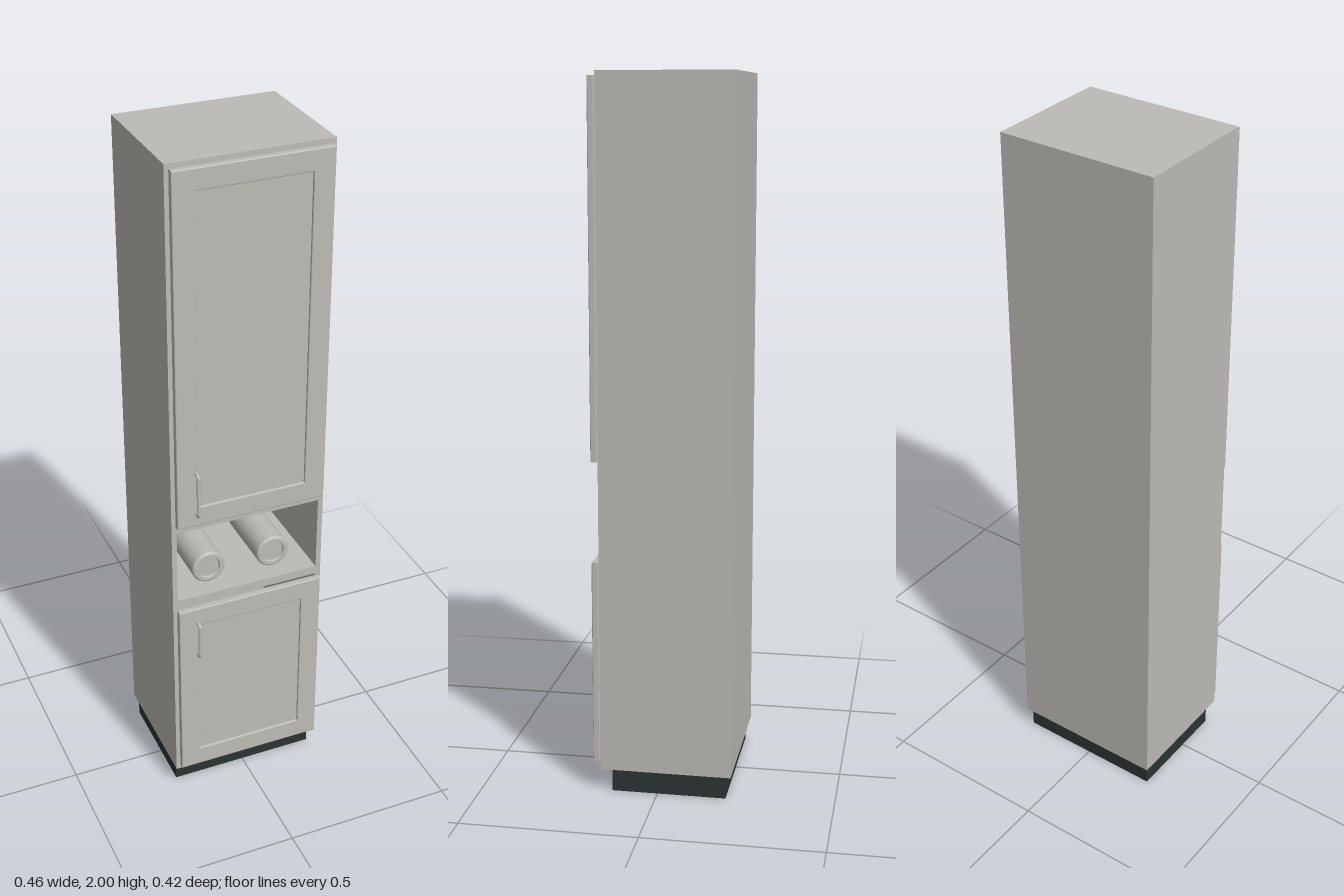
import * as THREE from 'three';

const cabinetGrey = new THREE.MeshStandardMaterial({ color: 0xbdbbb6 });
cabinetGrey.name = 'cabinetGrey';
const plinthDark = new THREE.MeshStandardMaterial({ color: 0x2b3433 });
plinthDark.name = 'plinthDark';

function add(parent, name, geometry, material = cabinetGrey) {
  const mesh = new THREE.Mesh(geometry, material);
  mesh.name = name;
  parent.add(mesh);
  return mesh;
}

// Box given by its extents on each axis
function box(parent, name, [x0, x1], [y0, y1], [z0, z1], material) {
  const mesh = add(parent, name, new THREE.BoxGeometry(x1 - x0, y1 - y0, z1 - z0), material);
  mesh.position.set((x0 + x1) / 2, (y0 + y1) / 2, (z0 + z1) / 2);
  return mesh;
}

function rectangle(path, x0, y0, x1, y1) {
  path.moveTo(x0, y0);
  path.lineTo(x1, y0);
  path.lineTo(x1, y1);
  path.lineTo(x0, y1);
  path.closePath();
  return path;
}

// Framed door with a recessed panel and a bow handle
function makeDoor(name, y0, y1, handleY0, handleY1) {
  const door = new THREE.Group();
  door.name = name;
  const bevel = 0.003, rail = 0.06;
  const shape = rectangle(new THREE.Shape(), -0.22 + bevel, y0 + bevel, 0.22 - bevel, y1 - bevel);
  shape.holes.push(rectangle(new THREE.Path(), -0.16 - bevel, y0 + rail - bevel, 0.16 + bevel, y1 - rail + bevel));
  const frame = add(door, 'doorFrame', new THREE.ExtrudeGeometry(shape, {
    depth: 0.02 - 2 * bevel, bevelEnabled: true, bevelThickness: bevel, bevelSize: bevel, bevelSegments: 2,
  }));
  frame.position.z = 0.165 + bevel;
  box(door, 'doorPanel', [-0.165, 0.165], [y0 + rail - 0.005, y1 - rail + 0.005], [0.167, 0.178]);

  // Handle path runs out from the door, along the grip and back
  const r = 0.005, x = -0.165, out = 0.207 - r, lo = handleY0 + r, hi = handleY1 - r, c = 0.01;
  const v = (y, z) => new THREE.Vector3(x, y, z);
  const path = new THREE.CurvePath();
  path.add(new THREE.LineCurve3(v(lo, 0.183), v(lo, out - c)));
  path.add(new THREE.QuadraticBezierCurve3(v(lo, out - c), v(lo, out), v(lo + c, out)));
  path.add(new THREE.LineCurve3(v(lo + c, out), v(hi - c, out)));
  path.add(new THREE.QuadraticBezierCurve3(v(hi - c, out), v(hi, out), v(hi, out - c)));
  path.add(new THREE.LineCurve3(v(hi, out - c), v(hi, 0.183)));
  add(door, 'handle', new THREE.TubeGeometry(path, 80, r, 12));
  return door;
}

// Lying bottle, base to the front and neck to the back
function makeBottle(x) {
  const profile = [
    [0, 0.006], [0.032, 0.006], [0.034, 0], [0.044, 0], [0.048, 0.002], [0.05, 0.006],
    [0.05, 0.21], [0.047, 0.225], [0.036, 0.242], [0.022, 0.254], [0.017, 0.264],
    [0.017, 0.295], [0.02, 0.296], [0.02, 0.303], [0, 0.303],
  ].map(([r, y]) => new THREE.Vector2(r, y));
  const points = [];
  // Doubled points keep the rims crisp
  profile.forEach((p) => points.push(p, p.clone().add(new THREE.Vector2(0, 0.0001))));
  const bottle = new THREE.Mesh(new THREE.LatheGeometry(points, 32), cabinetGrey);
  bottle.name = 'bottle';
  bottle.rotation.x = -Math.PI / 2;
  bottle.position.set(x, 0.75, 0.115);
  return bottle;
}

export function createModel() {
  const model = new THREE.Group();
  model.name = 'tallCabinet';

  // Plinth
  box(model, 'plinth', [-0.22, 0.22], [0, 0.066], [-0.195, 0.13], plinthDark);

  // Carcass
  const carcass = new THREE.Group();
  carcass.name = 'carcass';
  model.add(carcass);
  const inside = [-0.215, 0.215], depth = [-0.198, 0.162];
  box(carcass, 'rightSide', [-0.23, -0.215], [0.066, 2], [-0.21, 0.162]);
  box(carcass, 'leftSide', [0.215, 0.23], [0.066, 2], [-0.21, 0.162]);
  box(carcass, 'backPanel', inside, [0.066, 2], [-0.21, -0.198]);
  box(carcass, 'bottomPanel', inside, [0.066, 0.086], depth);
  box(carcass, 'topPanel', inside, [1.98, 2], depth);
  box(carcass, 'nicheFloor', inside, [0.672, 0.697], depth);
  box(carcass, 'nicheCeiling', inside, [0.928, 0.953], depth);

  // Doors
  model.add(makeDoor('lowerDoor', 0.085, 0.67, 0.503, 0.627));
  model.add(makeDoor('upperDoor', 0.955, 1.988, 0.99, 1.13));

  // Bottles in the open niche
  for (const x of [-0.1, 0.1]) model.add(makeBottle(x));

  return model;
}
